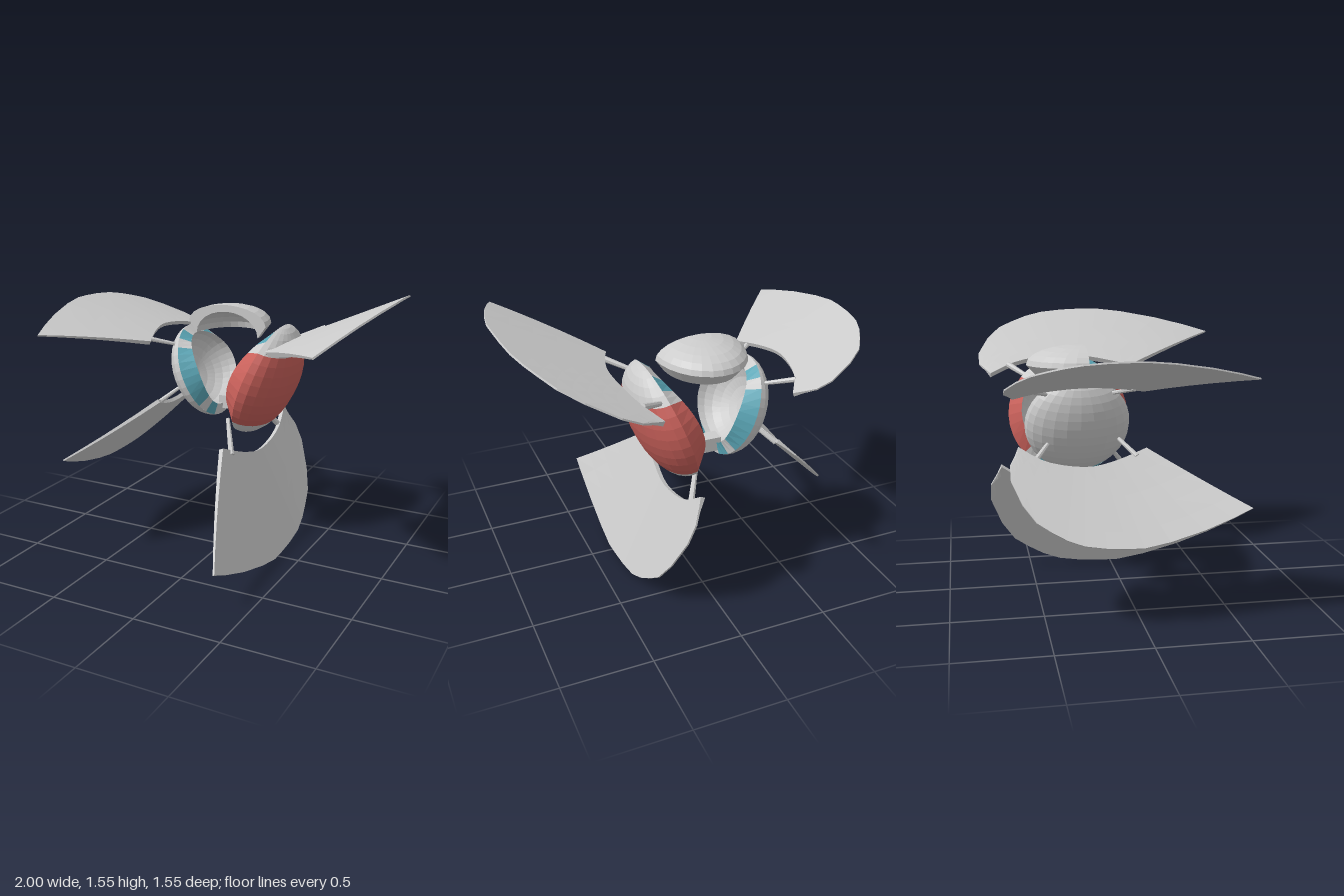
import * as THREE from 'three';

const rad = THREE.MathUtils.degToRad;
const material = (color) => new THREE.MeshStandardMaterial({ color, flatShading: true, side: THREE.DoubleSide });
const grey = material(0xcccccc);
const red = material(0xc8605a);
const blue = material(0x5aa5b5);

function addMesh(parent, name, geometry, mat = grey) {
  const mesh = new THREE.Mesh(geometry, mat);
  mesh.name = name;
  parent.add(mesh);
  return mesh;
}

// Grid surface: fn(u, v) returns [x, y, z] for u, v in 0..1
function patch(nu, nv, fn) {
  const pos = [], idx = [];
  for (let i = 0; i <= nu; i++) {
    for (let j = 0; j <= nv; j++) {
      pos.push(...fn(i / nu, j / nv));
      if (i < nu && j < nv) {
        const a = i * (nv + 1) + j, b = a + nv + 1;
        idx.push(a, b, a + 1, b, b + 1, a + 1);
      }
    }
  }
  const g = new THREE.BufferGeometry();
  g.setAttribute('position', new THREE.Float32BufferAttribute(pos, 3));
  g.setIndex(idx);
  g.computeVertexNormals();
  return g;
}

// Bowl-shaped hull of unit radius: bulges along +x, open towards -x
const DEPTH = 0.53, INNER = 0.8;
const rimHeight = (a) => -0.29 + 0.18 * Math.sin(a) ** 2;

function makeHull(name, outerColor, panelColor) {
  const hull = new THREE.Group();
  hull.name = name;

  // outer skin in three bands of latitude
  const bands = [[-90, -40, 5, grey], [-40, 40, 8, outerColor], [40, 90, 5, grey]];
  for (const [from, to, n, mat] of bands) {
    addMesh(hull, 'outerSkin', patch(n, 12, (u, v) => {
      const lat = rad(from + (to - from) * u), lon = rad(-90 + 180 * v);
      return [DEPTH * Math.cos(lat) * Math.cos(lon), Math.sin(lat), Math.cos(lat) * Math.sin(lon)];
    }), mat);
  }

  // sloping rim with coloured panels
  const quarter = [[-40, 40, panelColor], [40, 54, grey], [54, 72, blue],
    [72, 108, grey], [108, 126, blue], [126, 140, grey]];
  for (const turn of [0, 180]) {
    for (const [from, to, mat] of quarter) {
      addMesh(hull, 'rimPanel', patch(Math.ceil((to - from) / 10), 1, (u, v) => {
        const a = rad(turn + from + (to - from) * u), r = 1 + (INNER - 1) * v;
        return [rimHeight(a) * v, r * Math.sin(a), r * Math.cos(a)];
      }), mat);
    }
  }

  // hollow inside
  addMesh(hull, 'innerBowl', patch(36, 6, (u, v) => {
    const a = rad(360 * u), b = rad(90 * v), r = INNER * Math.cos(b);
    const x = 0.32 * Math.sin(b) + rimHeight(a) * (1 - Math.sin(b));
    return [x, r * Math.sin(a), r * Math.cos(a)];
  }));
  return hull;
}

// Fan-shaped cambered blade in the local x-z plane, with its two struts
const curve = (pts) => new THREE.SplineCurve(pts.map(([x, z]) => new THREE.Vector2(x, z)));
const innerEdge = curve([[0.08, 0.4], [0.17, 0.18], [0.21, -0.02], [0.165, -0.27], [0.055, -0.44]]);
const outerEdge = curve([[0.6, 1.01], [0.706, 0.73], [0.8, 0.36], [0.805, 0.16], [0.775, -0.08],
  [0.69, -0.25], [0.56, -0.4], [0.275, -0.51], [0.13, -0.47]]);

function makeBlade(name) {
  const blade = new THREE.Group();
  blade.name = name;
  const ROWS = 5;
  const camber = (z) => 0.09 * (z - 0.15) ** 2;
  const point = (s, f, side) => {
    const p = innerEdge.getPoint(s).lerp(outerEdge.getPoint(s), f);
    return [p.x, camber(p.y) + side * (0.014 - 0.009 * f), p.y];
  };
  // closed cross-section: over the top, round the outer edge, back underneath
  addMesh(blade, 'bladePlate', patch(14, 2 * ROWS + 2, (u, v) => {
    const k = Math.round(v * (2 * ROWS + 2));
    if (k <= ROWS) return point(u, k / ROWS, 1);
    if (k <= 2 * ROWS + 1) return point(u, (2 * ROWS + 1 - k) / ROWS, -1);
    return point(u, 0, 1);
  }));
  for (const s of [0, 1]) {
    addMesh(blade, 'bladeEnd', patch(ROWS, 1, (u, v) => point(s, u, 1 - 2 * v)));
  }
  for (const side of [1, -1]) {
    const a = new THREE.Vector3(-0.05, 0, side * 0.2);
    const b = new THREE.Vector3(0.14, 0.012, side * 0.33);
    const dir = b.clone().sub(a);
    const strut = addMesh(blade, 'strut', new THREE.CylinderGeometry(0.018, 0.012, dir.length(), 8));
    strut.position.copy(a).add(b).multiplyScalar(0.5);
    strut.quaternion.setFromUnitVectors(new THREE.Vector3(0, 1, 0), dir.normalize());
  }
  return blade;
}

// Half dome above the gap, closed by a flat front
function makeDome() {
  const dome = new THREE.Group();
  dome.name = 'topDome';
  const profile = [];
  for (let i = 0; i <= 6; i++) {
    const a = rad(90 - 15 * i);
    profile.push(new THREE.Vector2(0.25 * Math.cos(a), 0.11 * Math.sin(a)));
  }
  for (let i = 0; i <= 6; i++) {
    const a = rad(15 * i);
    profile.push(new THREE.Vector2(0.2 * Math.cos(a), -0.07 + 0.14 * Math.sin(a)));
  }
  addMesh(dome, 'domeShell', new THREE.LatheGeometry(profile, 14, Math.PI / 2, Math.PI));
  for (const side of [1, -1]) {
    const outline = profile.map((p) => new THREE.Vector2(side * p.x, p.y));
    addMesh(dome, 'domeFront', new THREE.ShapeGeometry(new THREE.Shape(outline)));
  }
  dome.position.set(-0.08, 1.3, -0.22);
  dome.scale.z = 1.28;
  return dome;
}

export function createModel() {
  const model = new THREE.Group();
  model.name = 'fourBladedCraft';
  const MID = -0.28;

  const hulls = [
    ['leftHull', red, red, 0.14, 0.985, -20.4, 0.35],
    ['rightHull', grey, blue, -0.25, 0.995, 202.4, 0.287],
  ];
  for (const [name, outer, panel, x, y, angle, size] of hulls) {
    const hull = makeHull(name, outer, panel);
    hull.position.set(x, y, MID);
    hull.rotation.z = rad(angle);
    hull.scale.setScalar(size);
    model.add(hull);
  }

  // name, root x, y, z, angle, size, camber side
  const blades = [
    ['upperLeftBlade', 0.26, 1.2, MID, 25, 1, -1],
    ['lowerLeftBlade', 0.04, 0.735, MID + 0.04, -66, 1, 1],
    ['upperRightBlade', -0.381, 1.182, MID, 160, 0.82, 1],
    ['lowerRightBlade', -0.325, 0.91, MID + 0.03, 225, 0.82, -1],
  ];
  for (const [name, x, y, z, angle, size, side] of blades) {
    const blade = makeBlade(name);
    blade.position.set(x, y, z);
    blade.rotation.z = rad(angle);
    blade.scale.set(size, size * side, size);
    model.add(blade);
  }

  model.add(makeDome());

  // small bridge between the hulls at the bottom
  addMesh(model, 'lowerBridge', new THREE.BoxGeometry(0.18, 0.08, 0.08)).position.set(-0.07, 0.8, -0.32);
  return model;
}
